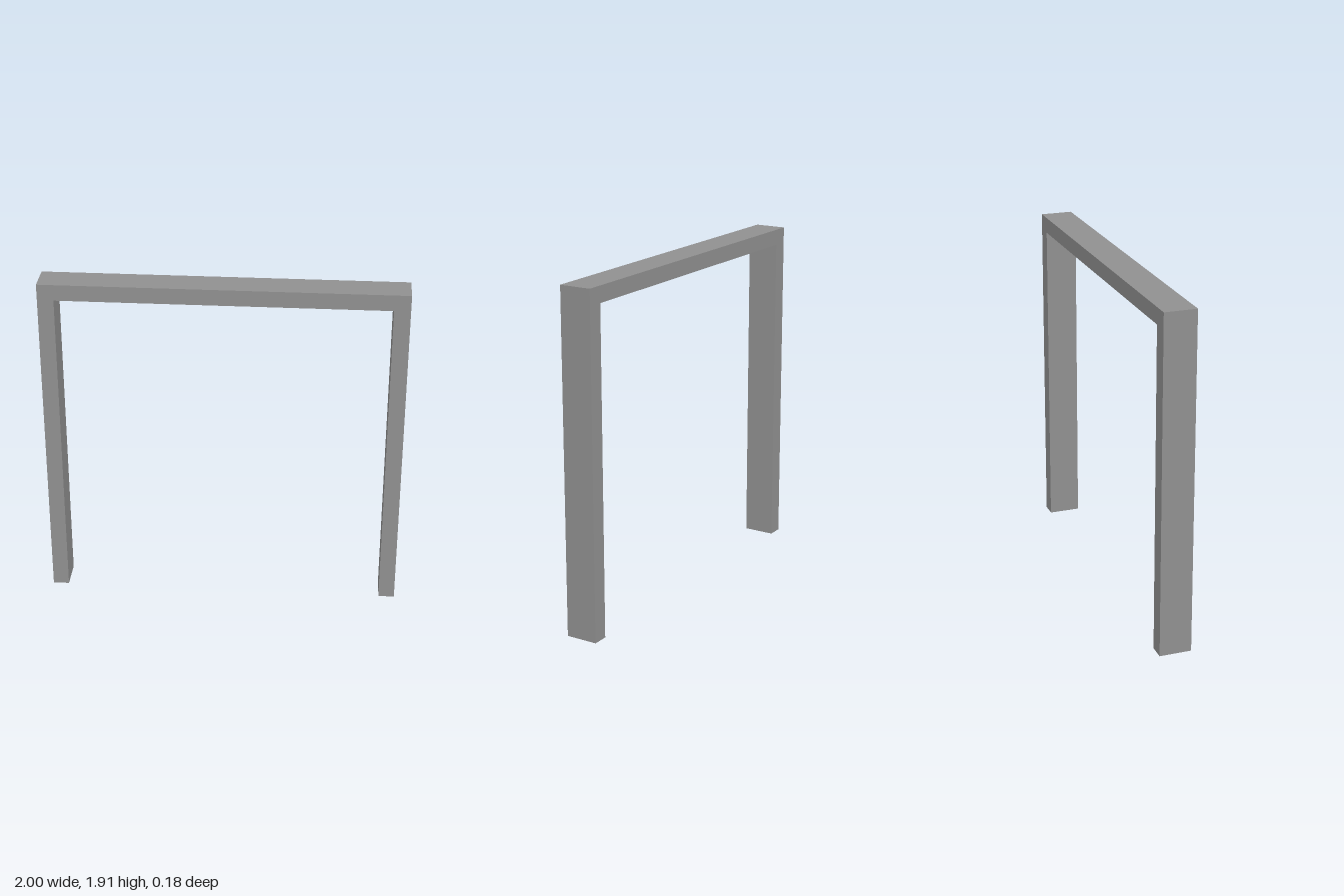
import * as THREE from 'three';

const WIDTH = 2, HEIGHT = 1.91, DEPTH = 0.18, BAR = 0.09;

export function createModel() {
  const model = new THREE.Group();
  model.name = 'portalFrame';

  const grey = new THREE.MeshStandardMaterial({ color: 0x909090 });
  grey.name = 'grey';

  // Two posts and a lintel in one continuous outline, anticlockwise
  const outer = WIDTH / 2, inner = outer - BAR, soffit = HEIGHT - BAR;
  const outline = new THREE.Shape([
    [-outer, 0], [-inner, 0], [-inner, soffit], [inner, soffit],
    [inner, 0], [outer, 0], [outer, HEIGHT], [-outer, HEIGHT],
  ].map(([x, y]) => new THREE.Vector2(x, y)));

  const geometry = new THREE.ExtrudeGeometry(outline, { depth: DEPTH, bevelEnabled: false });
  geometry.translate(0, 0, -DEPTH / 2);

  const frame = new THREE.Mesh(geometry, grey);
  frame.name = 'frame';
  model.add(frame);
  return model;
}
